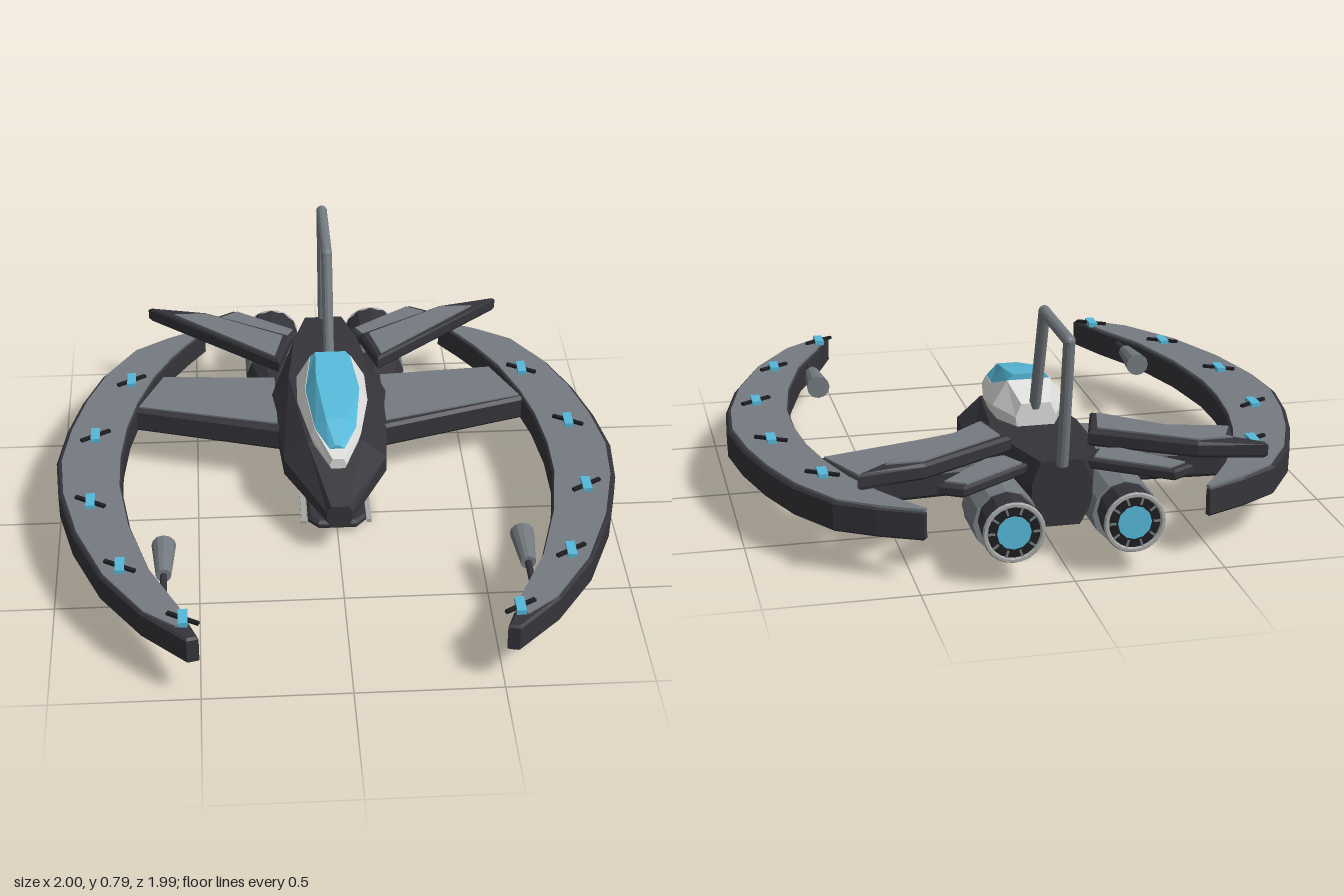
import * as THREE from 'three';

const mat = (name, color, side = THREE.FrontSide) => {
  const m = new THREE.MeshStandardMaterial({ color, flatShading: true, side });
  m.name = name;
  return m;
};

export function createModel() {
  const root = new THREE.Group();
  root.name = 'spacecraft';
  const dark = mat('dark hull', 0x35343a);
  const grey = mat('grey panel', 0x747b80);
  const black = mat('black trim', 0x1e1e22);
  const white = mat('canopy white', 0xdededc);
  const cyan = mat('cyan glass', 0x55b8d8);
  const silver = mat('light metal', 0xa5a6a6);

  const add = (name, geo, material, x = 0, y = 0, z = 0) => {
    const m = new THREE.Mesh(geo, material);
    m.name = name;
    m.position.set(x, y, z);
    root.add(m);
    return m;
  };

  // Loft through rings ordered front to back, each counterclockwise seen from the front
  const loft = (rings) => {
    const v = [];
    const n = rings[0].length;
    for (let i = 0; i < rings.length - 1; i++) {
      for (let j = 0; j < n; j++) {
        const k = (j + 1) % n;
        const a = rings[i][j], b = rings[i][k], c = rings[i + 1][k], d = rings[i + 1][j];
        v.push(...a, ...d, ...b, ...b, ...d, ...c);
      }
    }
    const f = rings[0], e = rings[rings.length - 1];
    for (let j = 1; j < n - 1; j++) v.push(...f[0], ...f[j], ...f[j + 1], ...e[0], ...e[j + 1], ...e[j]);
    const g = new THREE.BufferGeometry();
    g.setAttribute('position', new THREE.Float32BufferAttribute(v, 3));
    g.computeVertexNormals();
    return g;
  };
  // Symmetric ring from right-half points listed bottom to top
  const ring = (z, half) => [
    ...half.map(([x, y]) => [x, y, z]),
    ...[...half].reverse().map(([x, y]) => [-x, y, z]),
  ];

  // Horizontal slab from an outline of [x, z] points
  const slab = (pts, y0, y1, bevel = 0) => {
    const shape = new THREE.Shape(pts.map(([x, z]) => new THREE.Vector2(x, -z)));
    const g = new THREE.ExtrudeGeometry(shape, {
      depth: y1 - y0 - 2 * bevel, bevelEnabled: bevel > 0, bevelSegments: 1,
      bevelSize: bevel, bevelThickness: bevel, bevelOffset: -bevel,
    });
    return g.rotateX(-Math.PI / 2).translate(0, y0 + bevel, 0);
  };
  const shrink = (pts, k) => {
    const cx = pts.reduce((s, p) => s + p[0], 0) / pts.length;
    const cz = pts.reduce((s, p) => s + p[1], 0) / pts.length;
    return pts.map(([x, z]) => [cx + (x - cx) * k, cz + (z - cz) * k]);
  };

  // Tube between two points
  const rod = (name, a, b, r, material, r2 = r) => {
    const A = new THREE.Vector3(...a), B = new THREE.Vector3(...b);
    const d = B.clone().sub(A);
    const m = add(name, new THREE.CylinderGeometry(r2, r, d.length(), 12), material);
    m.position.copy(A).add(B).multiplyScalar(0.5);
    m.quaternion.setFromUnitVectors(new THREE.Vector3(0, 1, 0), d.normalize());
    return m;
  };

  // Fuselage: z, bottom width/height, side width/heights, top width/height
  add('fuselage', loft([
    [0.25, 0.03, 0.125, 0.045, 0.155, 0.185, 0.03, 0.21],
    [-0.02, 0.08, 0.08, 0.185, 0.17, 0.23, 0.10, 0.305],
    [-0.42, 0.10, 0.04, 0.215, 0.17, 0.25, 0.15, 0.335],
    [-0.66, 0.09, 0.07, 0.15, 0.18, 0.26, 0.12, 0.345],
    [-0.82, 0.06, 0.12, 0.10, 0.19, 0.27, 0.07, 0.345],
  ].map(([z, bw, by, w, y1, y2, tw, ty]) => ring(z, [[bw, by], [w, y1], [w, y2], [tw, ty]]))), dark);

  // Canopy frame and glass
  add('canopyFrame', loft([
    [0.15, 0.025, 0.305, 0.03, 0.32, 0.02, 0.345],
    [0, 0.08, 0.31, 0.09, 0.345, 0.075, 0.375],
    [-0.2, 0.11, 0.32, 0.128, 0.36, 0.10, 0.412],
    [-0.34, 0.11, 0.33, 0.125, 0.38, 0.075, 0.465],
    [-0.45, 0.065, 0.335, 0.07, 0.37, 0.05, 0.415],
  ].map(([z, bw, by, w, y, gw, gy]) => ring(z, [[bw, by], [w, y], [gw, gy]]))), white);
  add('canopyGlass', loft([
    [0.1, 0.03, 0.352, 0.008, 0.368],
    [0, 0.074, 0.374, 0.035, 0.415],
    [-0.2, 0.099, 0.411, 0.06, 0.466],
    [-0.34, 0.074, 0.464, 0.055, 0.485],
  ].map(([z, gw, gy, tw, ty]) => ring(z, [[gw, gy], [tw, ty]]))), cyan);

  // Tail hoop
  const hoop = [[0, 0.4, -0.435], [0, 0.77, -0.565], [0, 0.77, -0.895], [0, 0.33, -0.82]];
  for (let i = 0; i < 3; i++) rod('tailHoop', hoop[i], hoop[i + 1], 0.02, grey);
  for (const p of hoop.slice(1, 3)) add('hoopJoint', new THREE.SphereGeometry(0.021, 10, 8), grey, ...p);

  // Belly plate
  add('bellyPlate', slab([[-0.07, 0.12], [0.07, 0.12], [0.105, 0.08], [0.105, -0.16],
    [0.07, -0.2], [-0.07, -0.2], [-0.105, -0.16], [-0.105, 0.08]], 0.017, 0.05, 0.01), dark);

  // Crescent outlines, front tip to rear tip
  const outer = [[0.54, 0.995], [0.69, 0.85], [0.83, 0.645], [0.93, 0.4], [0.985, 0.17], [1, -0.03],
    [0.97, -0.23], [0.92, -0.42], [0.85, -0.6], [0.74, -0.77], [0.61, -0.85], [0.47, -0.915]];
  const inner = [[0.5, 0.985], [0.56, 0.83], [0.66, 0.62], [0.73, 0.37], [0.765, 0.13], [0.765, -0.05],
    [0.745, -0.24], [0.71, -0.4], [0.65, -0.58], [0.58, -0.72], [0.525, -0.81], [0.46, -0.905]];
  const mix = (a, b, t) => a.map((p, i) => [p[0] + (b[i][0] - p[0]) * t, p[1] + (b[i][1] - p[1]) * t]);
  const outerPanel = mix(outer, inner, 0.08), innerPanel = mix(inner, outer, 0.03);
  outerPanel[0] = [0.575, 0.93];
  innerPanel[0] = [0.53, 0.92];

  const wing = [[0.15, -0.185], [0.73, -0.36], [0.62, -0.585], [0.15, -0.555]];
  const wingPanel = [[0.2, -0.23], [0.71, -0.37], [0.62, -0.57], [0.2, -0.54]];
  const bigFin = [[0.185, -0.46], [0.675, -0.88], [0.45, -0.835], [0.13, -0.645]];
  const bigFinPanel = [[0.2, -0.49], [0.575, -0.815], [0.455, -0.815], [0.165, -0.635]];
  const smallFin = [[0.1, -0.76], [0.345, -0.93], [0.42, -0.885], [0.225, -0.69], [0.15, -0.67]];
  const clips = [[0.74, -0.54, -1], [0.865, -0.175, -1], [0.87, 0.235, 1], [0.76, 0.61, 1], [0.55, 0.9, 1]];

  for (const s of [1, -1]) {
    const side = (pts) => pts.map(([x, z]) => [x * s, z]);

    // Crescent and its top panel
    add('crescentWing', slab(side([...outer, ...[...inner].reverse()]), 0.145, 0.247, 0.008), dark);
    add('crescentPanel', slab(side([...outerPanel, ...[...innerPanel].reverse()]), 0.245, 0.254), grey);

    // Main wing
    add('mainWing', slab(side(wing), 0.15, 0.246, 0.012), dark);
    add('mainWingPanel', slab(side(wingPanel), 0.243, 0.252), grey);

    // Rear fins
    add('largeFin', slab(side(bigFin), 0.32, 0.375, 0.01), dark);
    add('largeFinPanel', slab(side(bigFinPanel), 0.373, 0.381), grey);
    add('smallFin', slab(side(smallFin), 0.285, 0.322, 0.008), dark);
    add('smallFinPanel', slab(side(shrink(smallFin, 0.86)), 0.32, 0.328), grey);

    // Clips along the crescent
    for (const [x, z, dir] of clips) {
      add('clip', new THREE.BoxGeometry(0.032, 0.018, 0.074), cyan, x * s, 0.26, z);
      const bar = add('clipBar', new THREE.BoxGeometry(0.12, 0.01, 0.014), black, x * s, 0.26, z);
      bar.rotation.y = dir * s * 0.54;
    }

    // Gun pod and mount
    rod('gunPod', [0.615 * s, 0.22, 0.62], [0.615 * s, 0.22, 0.45], 0.026, grey, 0.042);
    rod('gunMount', [0.615 * s, 0.22, 0.76], [0.615 * s, 0.22, 0.61], 0.012, dark);

    // Engine
    const ex = 0.197 * s, ey = 0.18;
    rod('engineFairing', [ex, 0.165, -0.7], [ex * 0.9, 0.165, -0.48], 0.108, dark, 0.06);
    rod('engineCollar', [ex, 0.168, -0.69], [ex, 0.168, -0.87], 0.108, grey);
    rod('engineNozzle', [ex, ey, -0.86], [ex, ey, -0.985], 0.092, dark, 0.102);
    add('nozzleRim', new THREE.TorusGeometry(0.094, 0.009, 6, 24), silver, ex, ey, -0.988);
    rod('nozzleInner', [ex, ey, -0.98], [ex, ey, -0.988], 0.09, black);
    rod('engineGlow', [ex, ey, -0.985], [ex, ey, -0.992], 0.056, cyan);
    for (let i = 0; i < 10; i++) {
      const a = (i / 10) * Math.PI * 2;
      const vane = add('nozzleVane', new THREE.BoxGeometry(0.024, 0.007, 0.006), grey,
        ex + Math.cos(a) * 0.074, ey + Math.sin(a) * 0.074, -0.989);
      vane.rotation.z = a;
    }

    // Landing strip
    add('landingStrip', new THREE.BoxGeometry(0.018, 0.014, 0.19), silver, 0.118 * s, 0.007, -0.035);
  }
  return root;
}
